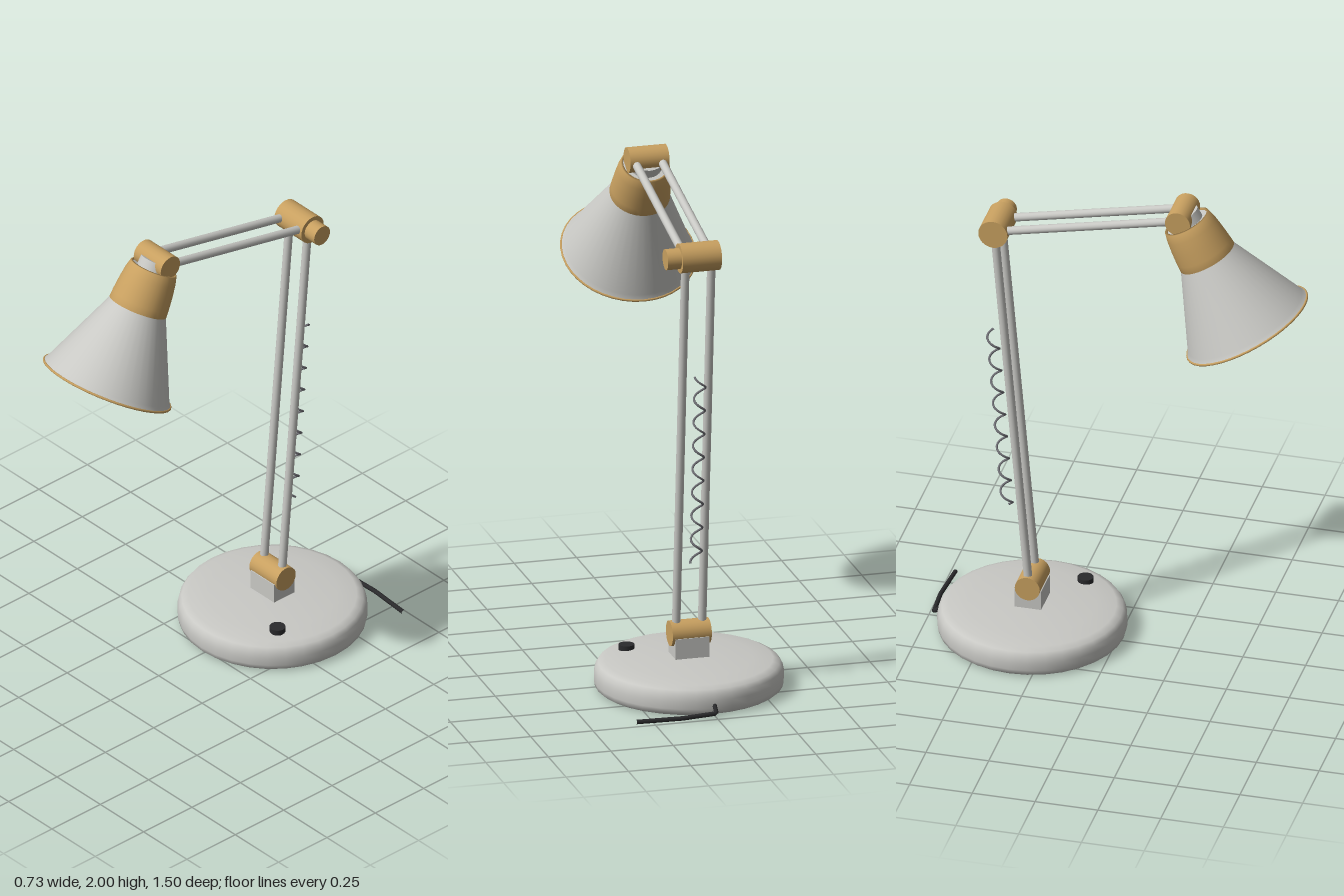
import * as THREE from 'three';

const paint = (name, color, side = THREE.FrontSide) => {
  const m = new THREE.MeshStandardMaterial({ color, side });
  m.name = name;
  return m;
};

export function createModel() {
  const grey = paint('light grey', 0xc8c8c4, THREE.DoubleSide);
  const gold = paint('brass', 0xc8a060, THREE.DoubleSide);
  const cream = paint('warm diffuser', 0xd0bca0);
  const steel = paint('spring steel', 0x74747a);
  const black = paint('black plastic', 0x2a2a2c);

  const lamp = new THREE.Group();
  lamp.name = 'deskLamp';

  const add = (name, geometry, material, pos = [0, 0, 0], parent = lamp) => {
    const mesh = new THREE.Mesh(geometry, material);
    mesh.name = name;
    mesh.position.set(...pos);
    parent.add(mesh);
    return mesh;
  };
  const lathe = (pts, seg = 32) =>
    new THREE.LatheGeometry(pts.map(([r, y]) => new THREE.Vector2(r, y)), seg);
  const crossBar = (r, length) =>
    new THREE.CylinderGeometry(r, r, length, 24).rotateZ(Math.PI / 2);

  // Joint centres
  const foot = new THREE.Vector3(0, 0.222, -0.338);
  const elbow = new THREE.Vector3(0, 1.793, -0.475);
  const wrist = new THREE.Vector3(0, 1.951, 0.26);

  // Weighted round base with a shallow dome
  add('base', lathe([
    [0, 0], [0.34, 0], [0.35, 0.002], [0.363, 0.012], [0.367, 0.03], [0.367, 0.06],
    [0.362, 0.085], [0.35, 0.102], [0.325, 0.113], [0.25, 0.12], [0.13, 0.13], [0, 0.131],
  ]), grey, [0, 0, -0.338]);
  add('baseBracket', new THREE.BoxGeometry(0.135, 0.1, 0.105), grey, [0, 0.162, -0.338]);
  add('powerButton', new THREE.CylinderGeometry(0.031, 0.031, 0.025, 20), black, [0.205, 0.126, -0.18]);

  // Power cable at the back
  const cable = new THREE.CurvePath();
  const cablePts = [[0, 0.05, -0.69], [0, 0.018, -0.73], [0.14, 0.014, -0.74], [0.32, 0.012, -0.728]]
    .map((p) => new THREE.Vector3(...p));
  for (let i = 1; i < cablePts.length; i++) cable.add(new THREE.LineCurve3(cablePts[i - 1], cablePts[i]));
  add('powerCable', new THREE.TubeGeometry(cable, 40, 0.009, 8), black);

  // Brass joints
  add('footJoint', crossBar(0.05, 0.156), gold, foot.toArray());
  add('elbowJoint', crossBar(0.058, 0.156), gold, elbow.toArray());
  add('elbowKnob', crossBar(0.041, 0.056), gold, [0.105, elbow.y, elbow.z]);
  add('wristJoint', crossBar(0.05, 0.156), gold, wrist.toArray());

  // Paired arm rods
  const rod = (name, a, b, x) => {
    const dir = b.clone().sub(a);
    const mesh = add(name, new THREE.CylinderGeometry(0.0165, 0.0165, dir.length(), 16), grey,
      a.clone().add(b).multiplyScalar(0.5).toArray());
    mesh.position.x = x;
    mesh.quaternion.setFromUnitVectors(new THREE.Vector3(0, 1, 0), dir.normalize());
  };
  for (const x of [-0.052, 0.052]) {
    rod('lowerArm', foot, elbow, x);
    rod('upperArm', elbow, wrist, x);
  }

  // Coil spring running behind the lower arm
  const turns = 8;
  const coil = [];
  for (let i = 0; i <= turns * 12; i++) {
    const t = i / (turns * 12);
    const a = t * turns * Math.PI * 2;
    coil.push(new THREE.Vector3(Math.cos(a) * 0.022, 0.532 + t * 0.78, -0.437 - t * 0.06 + Math.sin(a) * 0.022));
  }
  add('spring', new THREE.TubeGeometry(new THREE.CatmullRomCurve3(coil), turns * 16, 0.0045, 6), steel);

  // Tilted head, pointing along its own -y
  const head = new THREE.Group();
  head.name = 'lampHead';
  head.position.copy(wrist);
  head.rotation.x = -0.51;
  lamp.add(head);

  add('neck', new THREE.CylinderGeometry(0.065, 0.065, 0.06, 24), grey, [0, -0.03, 0], head);
  add('socketCap', new THREE.CylinderGeometry(0.086, 0.086, 0.01, 32), grey, [0, -0.045, 0], head);
  add('socket', lathe([
    [0.113, -0.2], [0.118, -0.2], [0.116, -0.17], [0.111, -0.12], [0.104, -0.07], [0.095, -0.034], [0.087, -0.032], [0.087, -0.05],
  ]), gold, [0, 0, 0], head);
  add('shade', lathe([[0.262, -0.526], [0.25, -0.508], [0.113, -0.195]], 40), grey, [0, 0, 0], head);
  add('shadeRim', new THREE.TorusGeometry(0.261, 0.005, 8, 40).rotateX(Math.PI / 2), gold, [0, -0.527, 0], head);
  add('diffuser', new THREE.CylinderGeometry(0.232, 0.232, 0.006, 40), cream, [0, -0.483, 0], head);

  return lamp;
}
